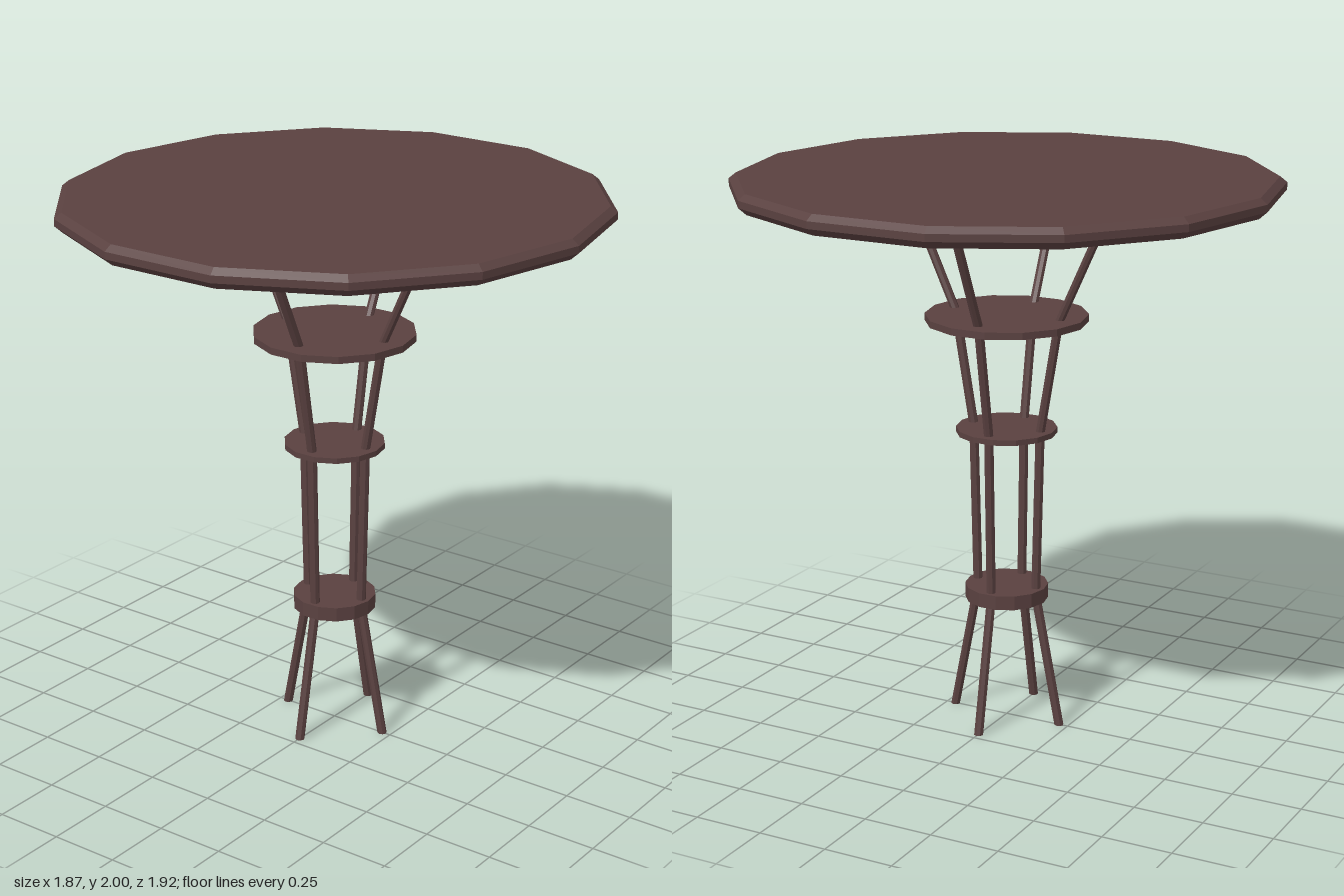
import * as THREE from 'three';

const SIDES = 14;

export function createModel() {
  const table = new THREE.Group();
  table.name = 'pedestalTable';
  const darkWood = new THREE.MeshStandardMaterial({ color: 0x5a4140 });
  darkWood.name = 'darkWood';

  const add = (name, geometry) => {
    const flat = geometry.index ? geometry.toNonIndexed() : geometry;
    flat.computeVertexNormals(); // faceted look
    const mesh = new THREE.Mesh(flat, darkWood);
    mesh.name = name;
    table.add(mesh);
    return mesh;
  };

  // Table top: bevelled fourteen-sided slab
  const topProfile = [[0, 1.93], [0.932, 1.93], [0.96, 1.955], [0.96, 1.98], [0.935, 2], [0, 2]]
    .map(([r, y]) => new THREE.Vector2(r, y));
  add('tableTop', new THREE.LatheGeometry(topProfile, SIDES));

  // Discs tying the legs together: name, radius, bottom, top
  for (const [name, r, y0, y1] of [
    ['upperDisc', 0.288, 1.485, 1.51],
    ['middleDisc', 0.18, 1.08, 1.1],
    ['lowerHub', 0.15, 0.46, 0.512],
  ]) {
    add(name, new THREE.CylinderGeometry(r, r, y1 - y0, SIDES).translate(0, (y0 + y1) / 2, 0));
  }

  // Bent legs: a straight rod whose rings are shifted outwards along a path
  const path = [[0.215, 0], [0.118, 0.485], [0.133, 1.09], [0.203, 1.497], [0.405, 1.94]];
  const bentRod = () => {
    const g = new THREE.CylinderGeometry(0.017, 0.017, 1, 8, path.length - 1);
    const p = g.attributes.position;
    for (let i = 0; i < p.count; i++) {
      const [x, y] = path[Math.round((p.getY(i) + 0.5) * (path.length - 1))];
      p.setXYZ(i, p.getX(i) + x, y, p.getZ(i));
    }
    return g;
  };
  for (let k = 0; k < 4; k++) add('leg' + (k + 1), bentRod()).rotation.y = (k * Math.PI) / 2;

  return table;
}
